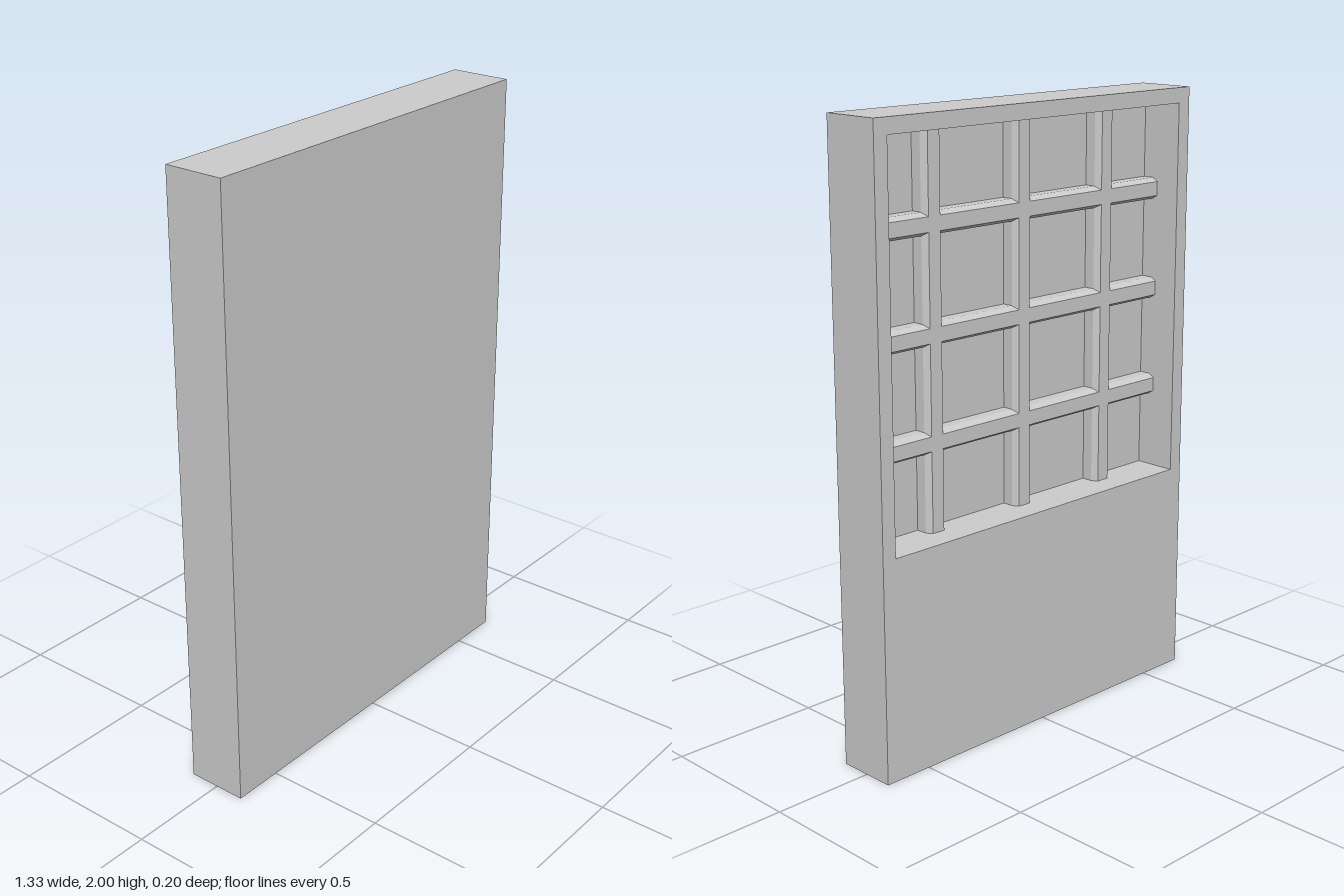
import * as THREE from 'three';

const WIDTH = 1.333, HEIGHT = 2, DEPTH = 0.2;
const OPENING = 1.235;          // square recess in the back
const OPENING_Y = 1.333;        // height of its centre
const PANEL_Z = 0.043;          // floor of the recess

const material = new THREE.MeshStandardMaterial({ color: 0xcccccc, flatShading: true });

function rectangle(PathType, w, h, cy) {
  return new PathType([
    new THREE.Vector2(-w / 2, cy - h / 2), new THREE.Vector2(w / 2, cy - h / 2),
    new THREE.Vector2(w / 2, cy + h / 2), new THREE.Vector2(-w / 2, cy + h / 2),
  ]);
}

function addMesh(parent, name, geometry) {
  const mesh = new THREE.Mesh(geometry, material);
  mesh.name = name;
  parent.add(mesh);
  return mesh;
}

// Upright bar with chamfered rear edges, centred on its length, base at z = 0
function barGeometry() {
  const profile = new THREE.Shape([
    [-0.035, 0], [0.035, 0], [0.035, 0.037], [0.023, 0.057], [-0.023, 0.057], [-0.035, 0.037],
  ].map(([x, y]) => new THREE.Vector2(x, y)));
  return new THREE.ExtrudeGeometry(profile, { depth: OPENING, bevelEnabled: false })
    .translate(0, 0, -OPENING / 2)
    .rotateX(-Math.PI / 2);
}

export function createModel() {
  const model = new THREE.Group();
  model.name = 'panelWithGrid';

  // Rear frame and lower slab with the square opening
  const outline = rectangle(THREE.Shape, WIDTH, HEIGHT, HEIGHT / 2);
  outline.holes.push(rectangle(THREE.Path, OPENING, OPENING, OPENING_Y));
  const frame = new THREE.ExtrudeGeometry(outline, { depth: PANEL_Z + DEPTH / 2, bevelEnabled: false });
  addMesh(model, 'frame', frame.translate(0, 0, -DEPTH / 2));

  // Plain front panel closing the recess
  const thickness = DEPTH / 2 - PANEL_Z;
  addMesh(model, 'frontPanel', new THREE.BoxGeometry(WIDTH, HEIGHT, thickness))
    .position.set(0, HEIGHT / 2, PANEL_Z + thickness / 2);

  // Grid of crossing bars inside the recess
  const grid = new THREE.Group();
  grid.name = 'grid';
  grid.position.set(0, OPENING_Y, PANEL_Z);
  model.add(grid);
  const upright = barGeometry();
  const crosswise = barGeometry().rotateZ(Math.PI / 2);
  for (const i of [-1, 0, 1]) {
    addMesh(grid, 'verticalBar', upright).position.x = i * 0.37;
    addMesh(grid, 'horizontalBar', crosswise).position.y = i * 0.333;
  }
  return model;
}
